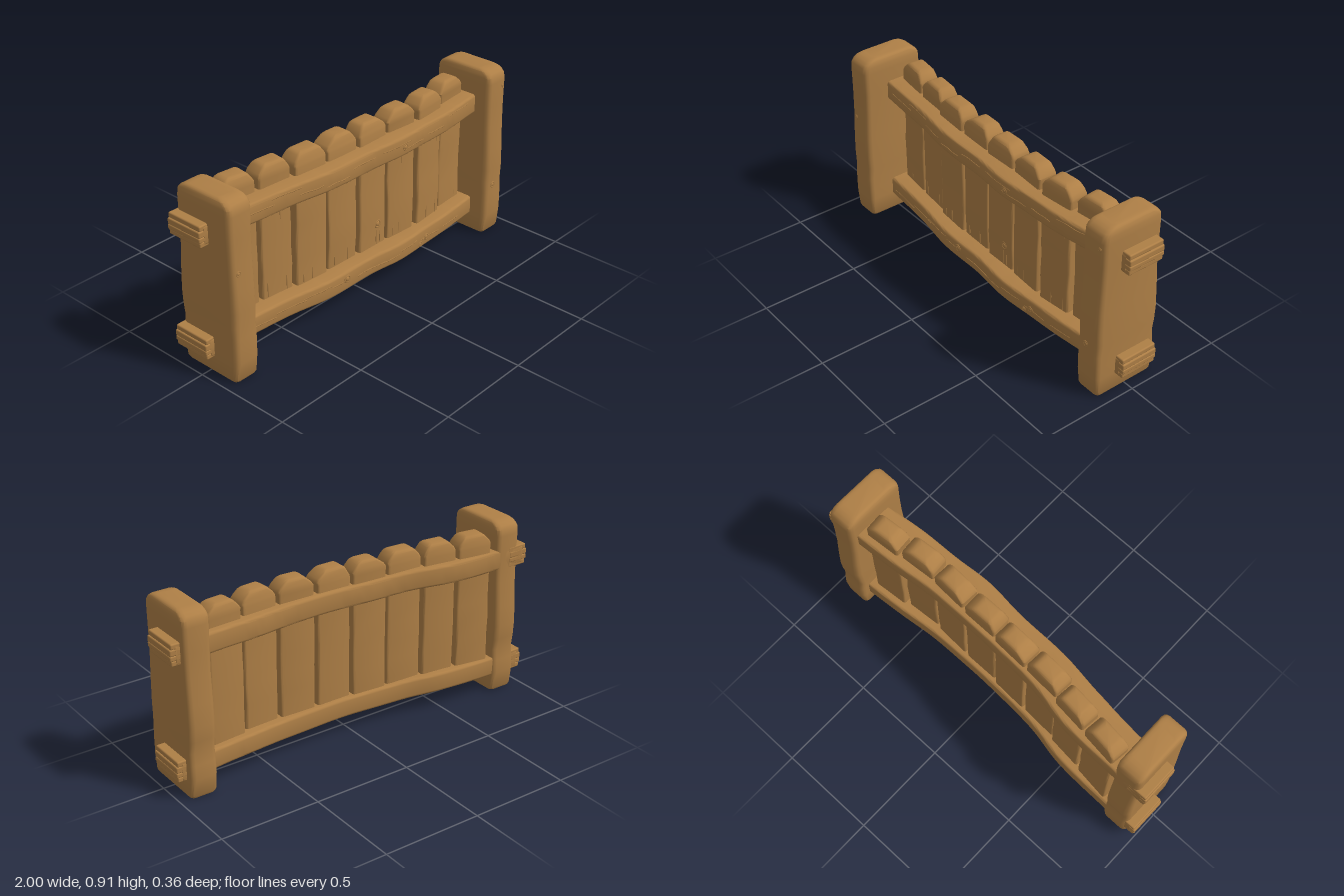
import * as THREE from 'three';
import { toCreasedNormals } from 'three/addons/utils/BufferGeometryUtils.js';
import { RoundedBoxGeometry } from 'three/addons/geometries/RoundedBoxGeometry.js';

const wood = new THREE.MeshStandardMaterial({ color: 0xae7f46 });
wood.name = 'warm wood';

let seed = 7;
const rand = () => (seed = (seed * 16807) % 2147483647) / 2147483647;
const jitter = (a) => (rand() - 0.5) * 2 * a;

function add(parent, geometry, name, x = 0, y = 0, z = 0) {
  const mesh = new THREE.Mesh(geometry, wood);
  mesh.name = name;
  mesh.position.set(x, y, z);
  parent.add(mesh);
  return mesh;
}

// Rounded rectangle sections [t, u0, u1, v0, v1, r] lofted along x or y
function loft(sections, axis) {
  const pos = [], index = [], N = 16;
  const put = (u, v, t) => (axis === 'x' ? pos.push(t, u, v) : pos.push(v, t, u));
  for (const [t, u0, u1, v0, v1, r] of sections) {
    for (let c = 0; c < 4; c++) {
      const cu = c === 0 || c === 3 ? u1 - r : u0 + r;
      const cv = c < 2 ? v1 - r : v0 + r;
      for (let k = 0; k < 4; k++) {
        const a = (c + k / 3) * Math.PI / 2;
        put(cu + r * Math.cos(a), cv + r * Math.sin(a), t);
      }
    }
  }
  const last = (sections.length - 1) * N;
  for (let s = 0; s < last; s += N) {
    for (let i = 0; i < N; i++) {
      const a = s + i, b = s + (i + 1) % N;
      index.push(a, b, b + N, a, b + N, a + N);
    }
  }
  for (let i = 1; i < N - 1; i++) index.push(0, i + 1, i, last, last + i, last + i + 1);
  const g = new THREE.BufferGeometry();
  g.setAttribute('position', new THREE.Float32BufferAttribute(pos, 3));
  g.setIndex(index);
  return toCreasedNormals(g, 0.65);
}

// Curved rail outline: x, back z, front z
const railCurve = new THREE.CatmullRomCurve3([
  [-0.97, -0.165, 0.035], [-0.8, -0.16, 0.04], [-0.5, -0.148, 0.07], [-0.28, -0.105, 0.1],
  [0, -0.088, 0.108], [0.2, -0.085, 0.126], [0.4, -0.088, 0.115], [0.6, -0.11, 0.108],
  [0.8, -0.125, 0.085], [0.97, -0.133, 0.065],
].map((p) => new THREE.Vector3(...p)));
const railPoints = railCurve.getPoints(60);
function railAt(x) {
  const i = Math.max(1, railPoints.findIndex((p) => p.x >= x));
  const a = railPoints[i - 1], b = railPoints[i];
  return a.clone().lerp(b, (x - a.x) / (b.x - a.x));
}

// Raised ring with a flat button in it
function addKnot(parent, x, y, z, r) {
  const knot = new THREE.Group();
  knot.name = 'knot';
  knot.position.set(x, y, z);
  add(knot, new THREE.TorusGeometry(r, r * 0.28, 6, 14), 'knotRing').scale.z = 0.7;
  add(knot, new THREE.SphereGeometry(r * 0.75, 12, 8), 'knotHeart').scale.z = 0.45;
  parent.add(knot);
}

function makeRail(name, y0, y1) {
  const rail = new THREE.Group();
  rail.name = name;
  const beam = railPoints.map((p) => {
    const w = 0.003 * Math.sin(p.x * 11 + y0 * 9);
    return [p.x, y0 + w, y1 - 0.003 + w * 0.7, p.y, p.z, 0.014];
  });
  add(rail, loft(beam, 'x'), 'beam');

  // Split grain along the front face
  for (let i = 0; i < 9; i++) {
    const start = -0.76 + i * 0.165 + jitter(0.02), len = 0.1 + rand() * 0.1;
    const y = y0 + 0.02 + rand() * (y1 - y0 - 0.04);
    const path = [0, 0.35, 0.7, 1].map((t) => {
      const x = Math.min(start + t * len, 0.8);
      return new THREE.Vector3(x, y + jitter(0.003), railAt(x).z - 0.0005);
    });
    add(rail, new THREE.TubeGeometry(new THREE.CatmullRomCurve3(path), 10, 0.0028, 5), 'grain');
  }

  // Layered tenons outside the posts
  const layers = [0, 0.24, 0.47, 0.76, 1];
  for (const side of [-1, 1]) {
    const p = railAt(side * 0.965);
    for (let i = 0; i < 4; i++) {
      const a = y0 + (y1 - y0) * layers[i], b = y0 + (y1 - y0) * layers[i + 1];
      const inset = i === 3 || i === 0 ? 0.006 : 0;
      const box = new RoundedBoxGeometry(0.11, b - a + 0.002, p.z - p.y - inset * 0.5, 3, 0.007);
      add(rail, box, 'tenonLayer', side * (0.945 - inset), (a + b) / 2, (p.y + p.z) / 2);
    }
  }
  return rail;
}

function makePost(side) {
  const post = new THREE.Group();
  post.name = side > 0 ? 'leftPost' : 'rightPost';
  // y, back z, front z, side inset, corner radius
  const profile = [
    [0, -0.155, 0.16, 0.008, 0.02], [0.012, -0.162, 0.167, 0.001, 0.024],
    [0.1, -0.173, 0.177, 0, 0.026], [0.17, -0.17, 0.178, 0, 0.026],
    [0.23, -0.164, 0.178, 0.001, 0.026], [0.29, -0.174, 0.176, 0, 0.03],
    [0.36, -0.178, 0.179, 0, 0.03], [0.47, -0.173, 0.176, 0.001, 0.028],
    [0.6, -0.164, 0.17, 0.002, 0.026], [0.72, -0.162, 0.168, 0.001, 0.026],
    [0.84, -0.163, 0.169, 0, 0.026], [0.872, -0.16, 0.166, 0.001, 0.026],
    [0.888, -0.148, 0.155, 0.003, 0.026], [0.9, -0.13, 0.138, 0.007, 0.024],
    [0.907, -0.112, 0.118, 0.013, 0.022], [0.91, -0.09, 0.095, 0.022, 0.016],
  ];
  const sections = profile.map(([y, b, f, i, r]) => {
    const x = [side * (0.81 + i), side * (0.95 - i)].sort((m, n) => m - n);
    return [y, b, f, x[0], x[1], r];
  });
  add(post, loft(sections, 'y'), 'postBody');
  return post;
}

function makePicket(x0, x1, z, turn, i) {
  const h = (x1 - x0) / 2, picket = new THREE.Group();
  picket.name = 'picket' + (i + 1);
  picket.position.set((x0 + x1) / 2, 0, z);
  picket.rotation.y = turn;
  const sections = [];
  for (let k = 0; k <= 7; k++) {
    sections.push([0.12 + k * 0.098, -0.052 + jitter(0.002), 0.052 + jitter(0.003),
      -h + jitter(0.002), h + jitter(0.002), 0.012]);
  }
  // Clipped top corners
  const cut = 0.038 + jitter(0.007), skew = jitter(0.008);
  sections.push([0.818, -0.051, 0.051, -h, h, 0.012]);
  sections.push([0.835, -0.05, 0.049, -h + cut * 0.26, h - cut * 0.26, 0.013]);
  sections.push([0.858, -0.046, 0.044, -h + cut * 0.8 + skew, h - cut * 0.8 + skew, 0.014]);
  sections.push([0.867, -0.038, 0.035, -h + cut * 1.15 + skew, h - cut * 1.15 + skew, 0.012]);
  sections.push([0.87, -0.028, 0.025, -h + cut * 1.5 + skew, h - cut * 1.5 + skew, 0.01]);
  add(picket, loft(sections, 'y'), 'board');
  // Long splinters near the rails
  for (let k = 0; k < 3; k++) {
    const len = 0.04 + rand() * 0.05, up = k === 1;
    const s = add(picket, new THREE.SphereGeometry(1, 8, 6), 'splinter',
      jitter(h * 0.7), up ? 0.66 - len / 2 : 0.19 + len / 2, 0.051);
    s.scale.set(0.0025, len / 2, 0.003);
  }
  return picket;
}

export function createModel() {
  const fence = new THREE.Group();
  fence.name = 'woodenFence';
  fence.add(makePost(-1), makePost(1));
  fence.add(makeRail('lowerRail', 0.09, 0.193), makeRail('upperRail', 0.665, 0.77));

  // Left edge, right edge, depth, turn
  [
    [-0.79, -0.605, -0.083, -0.12], [-0.59, -0.41, -0.058, -0.1],
    [-0.4, -0.21, -0.027, -0.06], [-0.198, -0.01, -0.022, -0.04],
    [0.003, 0.187, -0.01, 0], [0.2, 0.387, -0.003, -0.05],
    [0.405, 0.59, 0, 0.08], [0.605, 0.79, -0.03, 0.08],
  ].forEach((p, i) => fence.add(makePicket(...p, i)));

  // Knots on rails, boards and posts
  for (const [x, y, r] of [[0.23, 0.712, 0.015], [-0.155, 0.15, 0.017], [0.37, 0.112, 0.012], [0.415, 0.135, 0.014]]) {
    addKnot(fence, x, y, railAt(x).z, r);
  }
  addKnot(fence, 0.13, 0.305, 0.042, 0.018);
  addKnot(fence, -0.91, 0.56, 0.171, 0.012);
  addKnot(fence, 0.87, 0.27, 0.176, 0.014);
  addKnot(fence, 0.92, 0.81, 0.169, 0.009);

  // Small wedges under the lower rail
  for (let i = 0; i < 7; i++) {
    const x = -0.6 + i * 0.2, p = railAt(x);
    add(fence, new THREE.BoxGeometry(0.01, 0.008, 0.03), 'wedge', x, 0.09, (p.y + p.z) / 2);
  }
  return fence;
}
